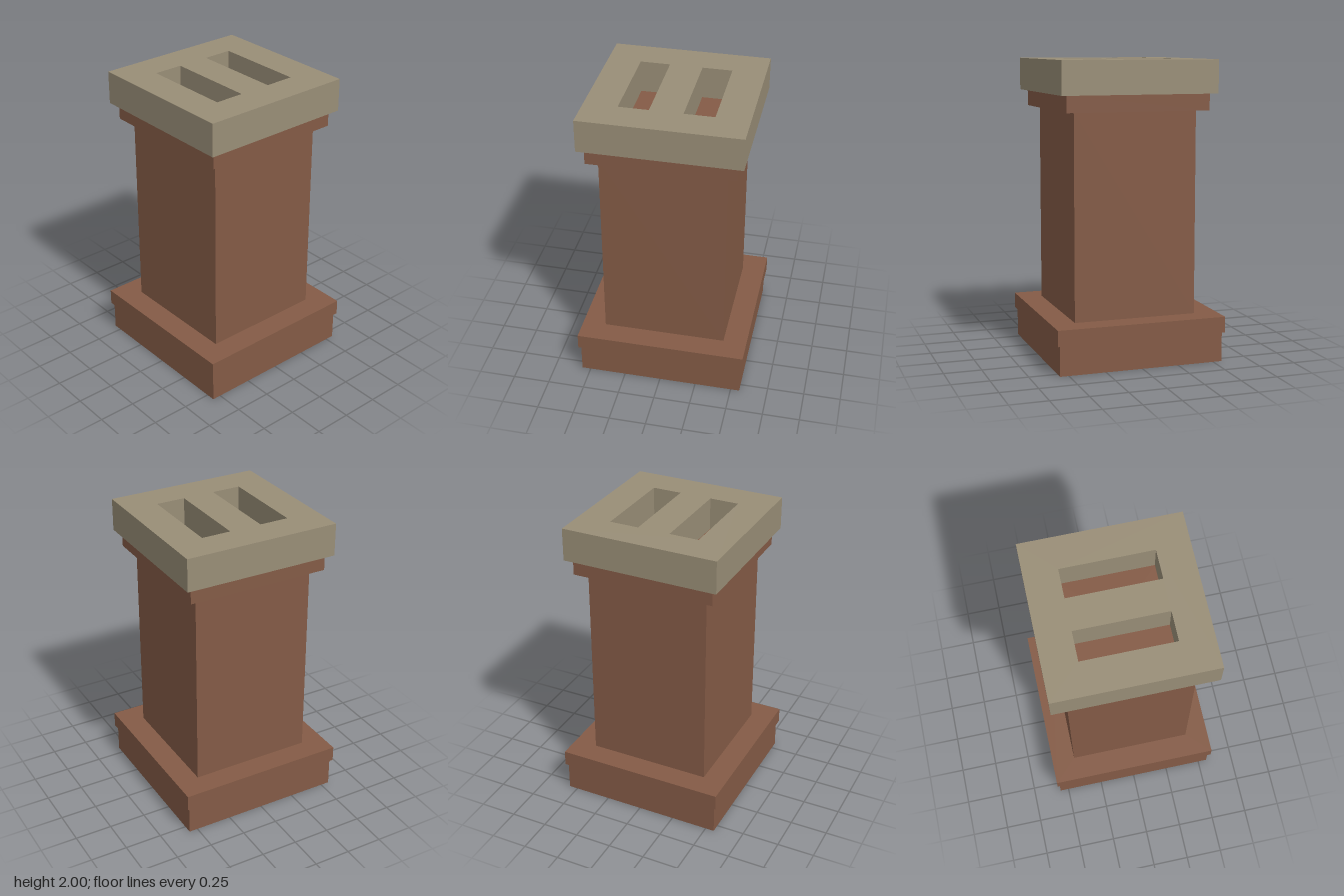
import * as THREE from 'three';

const brick = new THREE.MeshStandardMaterial({ color: 0x845b46, side: THREE.DoubleSide });
brick.name = 'brick';
const stone = new THREE.MeshStandardMaterial({ color: 0x998e77 });
stone.name = 'stone';

// Thin square shell from [half width, height] pairs, with flat faces
function squareShell(name, profile) {
  const points = profile.map(([half, y]) => new THREE.Vector2(half * Math.SQRT2, y));
  const geometry = new THREE.LatheGeometry(points, 4, Math.PI / 4).toNonIndexed();
  geometry.computeVertexNormals();
  const mesh = new THREE.Mesh(geometry, brick);
  mesh.name = name;
  return mesh;
}

function rectangle(Type, x0, x1, z0, z1) {
  return new Type([[x0, z0], [x1, z0], [x1, z1], [x0, z1]].map(([x, z]) => new THREE.Vector2(x, z)));
}

export function createModel() {
  const group = new THREE.Group();
  group.name = 'chimney';

  // Hollow brickwork, open at the bottom
  group.add(squareShell('base', [[0.56, 0], [0.56, 0.2], [0.576, 0.2]]));
  group.add(squareShell('baseLedge', [[0.576, 0.2], [0.576, 0.306], [0.417, 0.306]]));
  group.add(squareShell('shaft', [[0.417, 0.306], [0.417, 1.67]]));
  group.add(squareShell('neck', [[0.417, 1.67], [0.485, 1.67], [0.485, 1.779], [0, 1.779]]));

  // Stone cap with two flue slots cut through it
  const outline = rectangle(THREE.Shape, -0.528, 0.528, -0.528, 0.528);
  for (const x of [-0.208, 0.208]) {
    outline.holes.push(rectangle(THREE.Path, x - 0.099, x + 0.099, -0.306, 0.306));
  }
  const capGeometry = new THREE.ExtrudeGeometry(outline, { depth: 0.22, bevelEnabled: false });
  capGeometry.rotateX(-Math.PI / 2).translate(0, 1.78, 0);
  const cap = new THREE.Mesh(capGeometry, stone);
  cap.name = 'cap';
  group.add(cap);

  return group;
}
